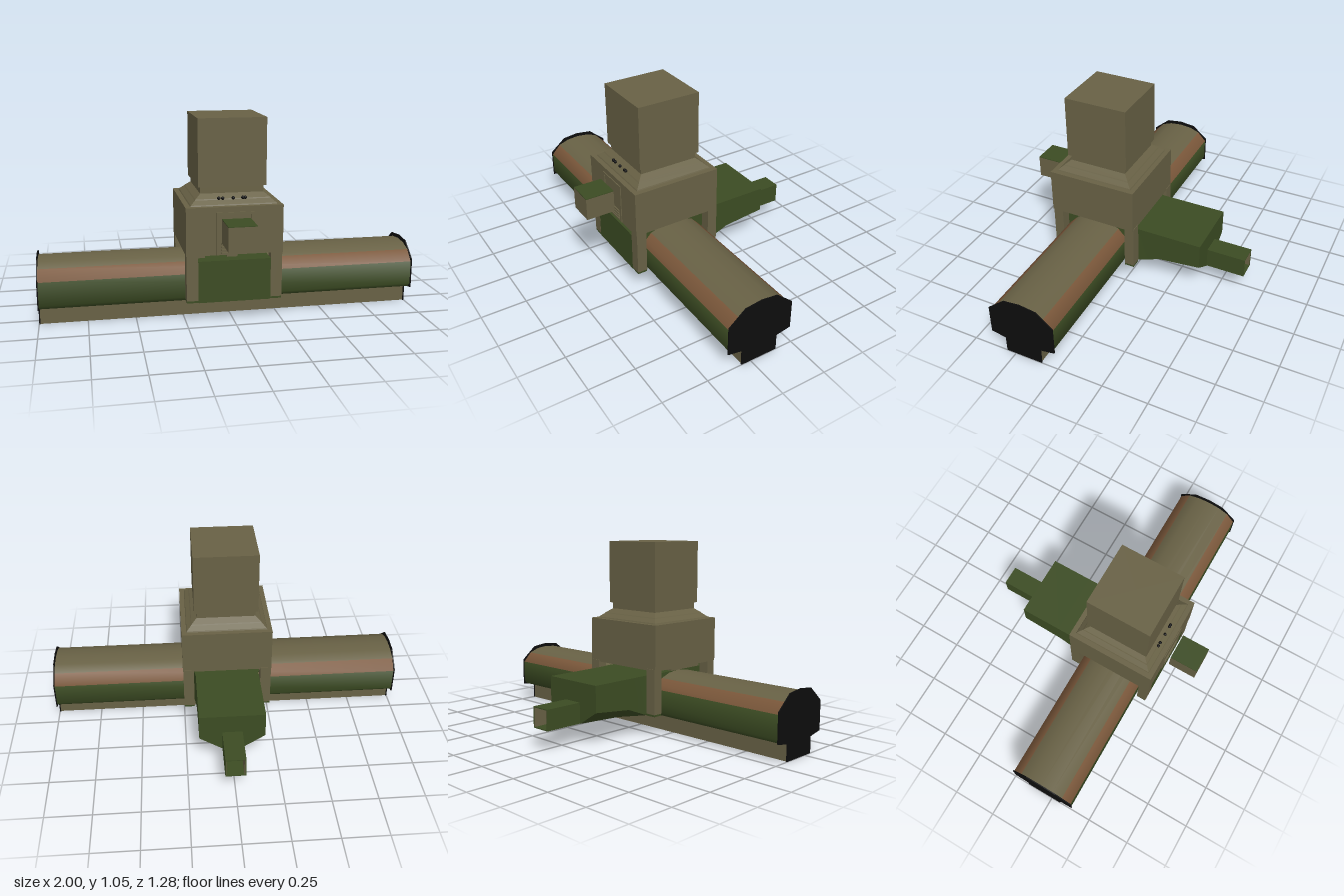
import * as THREE from 'three';
import { toCreasedNormals } from 'three/addons/utils/BufferGeometryUtils.js';

const paint = (name, color) => {
  const m = new THREE.MeshStandardMaterial({ color });
  m.name = name;
  return m;
};

// Joins matching rings [[x, y], ...] (counterclockwise seen from +z) at the given z values.
// slots gives the material index of each side of the ring.
function loft(rings, zs, slots = null, crease = 0.5) {
  const n = rings[0].length, pos = [], idx = [];
  rings.forEach((r, k) => r.forEach(([x, y]) => pos.push(x, y, zs[k])));
  const g = new THREE.BufferGeometry();
  for (let i = 0; i < n; i++) {
    const start = idx.length, j = (i + 1) % n;
    for (let k = 0; k < rings.length - 1; k++) {
      const a = k * n + i, b = k * n + j;
      idx.push(a, b, b + n, a, b + n, a + n);
    }
    g.addGroup(start, idx.length - start, slots ? slots[i] : 0);
  }
  const start = idx.length, last = (rings.length - 1) * n;
  for (const [i, j, k] of THREE.ShapeUtils.triangulateShape(rings[0].map(p => new THREE.Vector2(...p)), [])) {
    idx.push(i, k, j, last + i, last + j, last + k);
  }
  g.addGroup(start, idx.length - start, 0);
  g.setAttribute('position', new THREE.Float32BufferAttribute(pos, 3));
  g.setIndex(idx);
  return toCreasedNormals(g, crease);
}

// Completes a right-hand outline (bottom to top) with its mirror image.
const mirrored = half => [...half, ...half.filter(p => p[0] > 0).reverse().map(([x, y]) => [-x, y])];

export function createModel() {
  const group = new THREE.Group();
  const khaki = paint('khaki', 0x686145);
  const green = paint('dark green', 0x3c4c23);
  const brown = paint('rust brown', 0x7a573a);
  const black = paint('black', 0x0d0d0d);

  const add = (name, geometry, material, x = 0, y = 0, z = 0) => {
    const m = new THREE.Mesh(geometry, material);
    m.name = name;
    m.position.set(x, y, z);
    group.add(m);
    return m;
  };
  // Box given by its limits on each axis
  const box = (name, mat, x0, x1, y0, y1, z0, z1) =>
    add(name, new THREE.BoxGeometry(x1 - x0, y1 - y0, z1 - z0), mat,
      (x0 + x1) / 2, (y0 + y1) / 2, (z0 + z1) / 2);

  // Long cross bar with painted bands
  const barRing = mirrored([[0.165, 0.104], [0.182, 0.125], [0.182, 0.25], [0.13, 0.305], [0.07, 0.327], [0, 0.334]]);
  const barSlots = [0, 0, 1, 2, 2, 2, 2, 1, 0, 0, 0];
  const bar = add('crossBar', loft([barRing, barRing], [-0.996, 0.996], barSlots, 0.9), [green, brown, khaki], 0, 0, 0.2);
  bar.rotation.y = Math.PI / 2;
  box('barRail', khaki, -0.996, 0.996, 0, 0.106, 0.1, 0.3);

  // Black end plates
  const capRing = mirrored([[0.104, 0], [0.104, 0.089], [0.186, 0.104], [0.186, 0.264], [0.093, 0.342], [0, 0.353]]);
  for (const s of [-1, 1]) {
    const cap = add('endPlate', loft([capRing, capRing], [-0.003, 0.003]), black, s * 0.997, 0, 0.2);
    cap.rotation.y = Math.PI / 2;
  }

  // Central body, its rear underside narrowing to a keel
  const bodyRing = (w, keel, edge) =>
    [[-keel, 0.112], [keel, 0.112], [w, edge], [w, 0.334], [-w, 0.334], [-w, edge]];
  add('body', loft(
    [bodyRing(0.18, 0.06, 0.19), bodyRing(0.18, 0.1, 0.165), bodyRing(0.18, 0.175, 0.116), bodyRing(0.19, 0.188, 0.114), bodyRing(0.19, 0.188, 0.114)],
    [-0.42, -0.18, -0.055, 0.02, 0.447], [0, 0, 0, 0, 0, 0]), [green]);

  // Hollow rear stub
  const rect = (P, w, y0, y1) => new P([[-w, y0], [w, y0], [w, y1], [-w, y1]].map(p => new THREE.Vector2(...p)));
  const stub = rect(THREE.Shape, 0.055, 0.112, 0.225);
  stub.holes.push(rect(THREE.Path, 0.05, 0.117, 0.22));
  add('rearStub', new THREE.ExtrudeGeometry(stub, { depth: 0.24, bevelEnabled: false }), green, 0, 0, -0.64);
  box('stubInnerPlate', khaki, -0.05, 0.05, 0.117, 0.22, -0.43, -0.421);
  for (const s of [-1, 1]) box('stubLining', khaki, s * 0.048 - 0.002, s * 0.048 + 0.002, 0.117, 0.22, -0.638, -0.425);

  // Corner pillars under the housing
  for (const x of [-0.22, 0.22]) {
    for (const z of [-0.027, 0.42]) {
      box('pillar', khaki, x - 0.03, x + 0.03, 0.125, 0.375, z - 0.028, z + 0.028);
      box('pillarFoot', green, x - 0.029, x + 0.029, 0.114, 0.125, z - 0.027, z + 0.027);
    }
  }
  box('centrePost', khaki, -0.028, 0.028, 0.32, 0.605, 0.12, 0.385);
  box('sideBracket', khaki, -0.19, -0.145, 0.32, 0.38, 0.15, 0.385);

  // Square housing, open below, stepping up to the tower
  const profile = [[0, 0.6], [0.238, 0.6], [0.238, 0.365], [0.252, 0.365], [0.252, 0.616], [0.225, 0.616],
    [0.222, 0.622], [0.198, 0.642], [0.194, 0.647], [0.165, 0.67], [0.165, 0.705], [0.178, 0.705], [0.178, 1.055], [0, 1.055]];
  const tower = new THREE.LatheGeometry(
    profile.map(([w, y]) => new THREE.Vector2(w * Math.SQRT2, y)), 4, Math.PI / 4).toNonIndexed();
  tower.computeVertexNormals();
  add('housingAndTower', tower, khaki, 0, 0, 0.2);

  // Front window frame and louvres on the housing
  for (const s of [-1, 1]) box('windowSide', khaki, s * 0.09 - 0.008, s * 0.09 + 0.008, 0.366, 0.585, 0.45, 0.457);
  box('windowTop', khaki, -0.098, 0.098, 0.575, 0.588, 0.45, 0.457);
  for (let i = 0; i < 4; i++) box('louvre', khaki, -0.072, 0.072, 0.37 + i * 0.016, 0.38 + i * 0.016, 0.45, 0.459);

  // Small bolts above the housing
  for (const x of [-0.075, -0.055, 0, 0.05, 0.062]) {
    add('bolt', new THREE.SphereGeometry(0.009, 8, 6), black, x, 0.65, 0.4);
  }

  // Detached front block with a green top
  box('frontBlock', khaki, -0.073, 0.073, 0.434, 0.557, 0.482, 0.642);
  box('frontBlockTop', green, -0.073, 0.073, 0.557, 0.561, 0.482, 0.642);

  return group;
}
